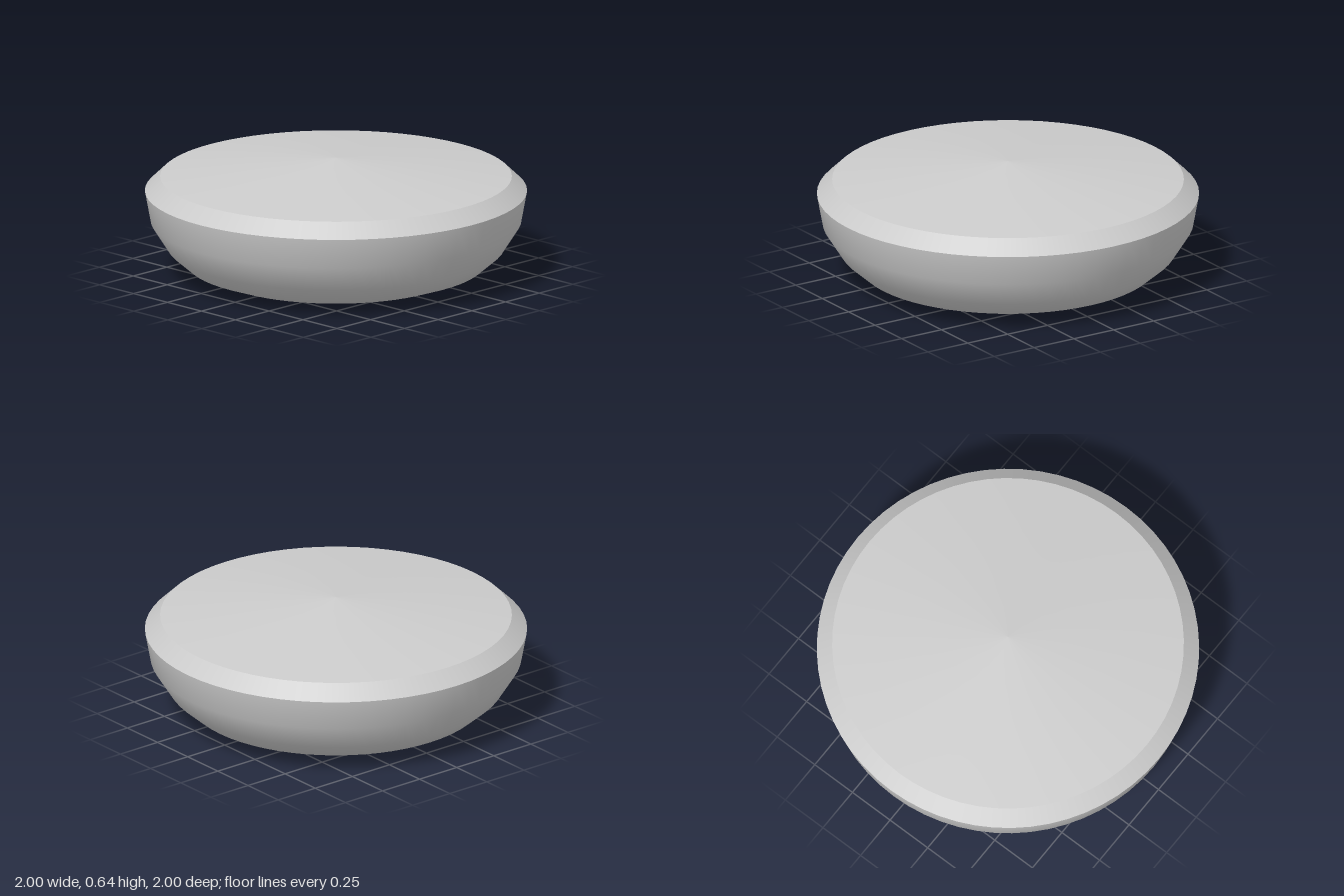
import * as THREE from 'three';

const SEGMENTS = 64;

// Smooth surface of revolution; profile runs bottom to top as [radius, y]
function turned(name, profile) {
  const points = profile.map(([r, y]) => new THREE.Vector2(r, y));
  const mesh = new THREE.Mesh(
    new THREE.LatheGeometry(points, SEGMENTS),
    new THREE.MeshStandardMaterial({ color: 0xcccccc })
  );
  mesh.name = name;
  return mesh;
}

export function createModel() {
  const group = new THREE.Group();
  group.name = 'roundCushion';

  // Rounded bowl-like body with a slightly dished underside
  group.add(turned('body', [
    [0, 0.015], [0.26, 0], [0.5, 0.005], [0.655, 0.025], [0.78, 0.07],
    [0.88, 0.157], [0.97, 0.3], [1, 0.463],
  ]));

  // Bevelled rim, separate so both its edges stay sharp
  group.add(turned('rim', [[1, 0.463], [0.92, 0.54]]));

  // Shallow domed top
  group.add(turned('top', [[0.92, 0.54], [0.47, 0.596], [0, 0.64]]));

  return group;
}
